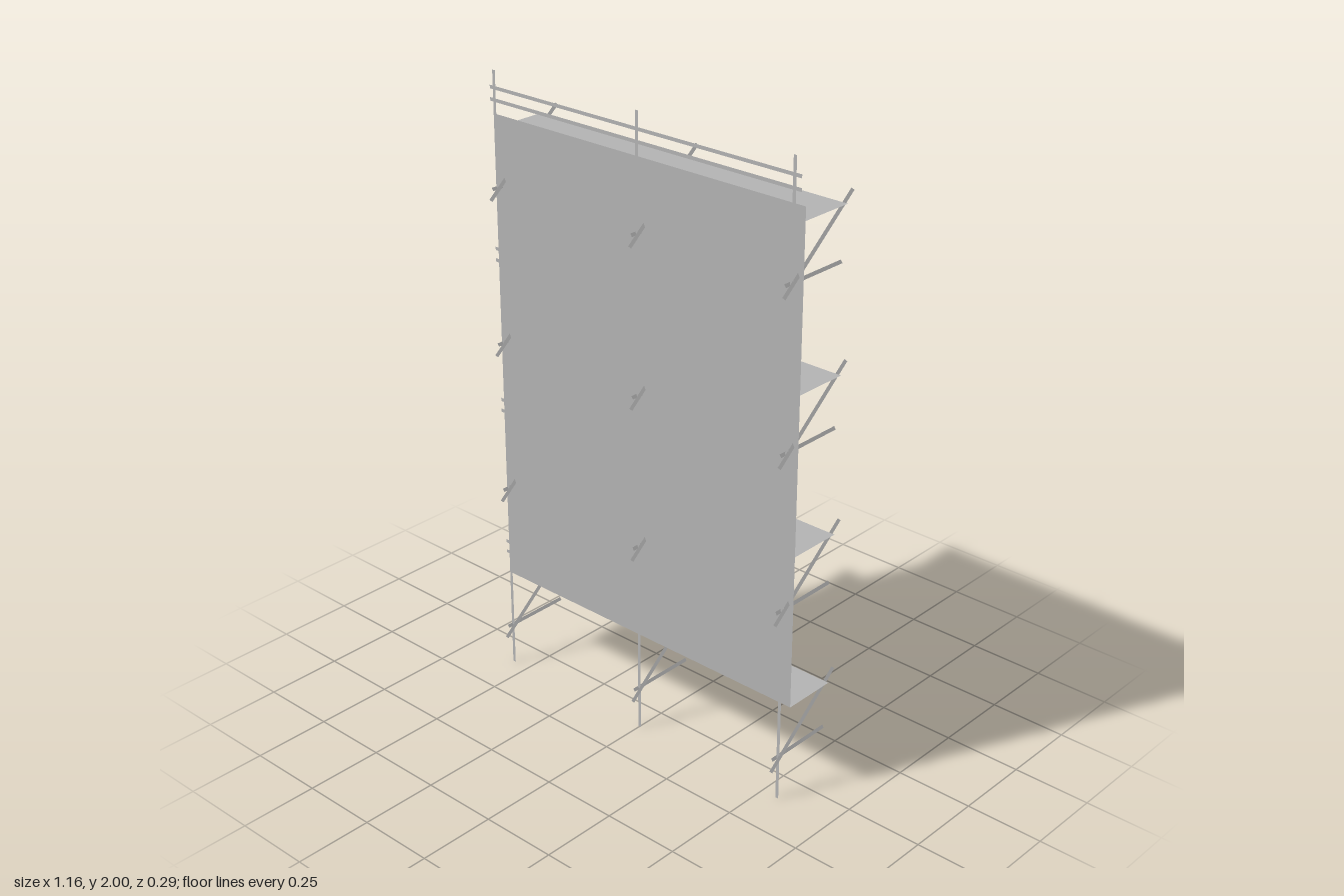
import * as THREE from 'three';

const grey = new THREE.MeshStandardMaterial({ color: 0xb4b4b4, side: THREE.DoubleSide });
grey.name = 'scaffold grey';

const LEVELS = [0, 0.5, 1, 1.5];
const FRAMES = [-0.557, 0.002, 0.556];

export function createModel() {
  const group = new THREE.Group();

  const add = (name, geometry) => {
    const mesh = new THREE.Mesh(geometry, grey);
    mesh.name = name;
    group.add(mesh);
    return mesh;
  };

  // Upright flat panel facing the front
  const panel = (name, w, h, x, y, z) =>
    add(name, new THREE.PlaneGeometry(w, h)).position.set(x, y, z);

  // Flat strip from a to b, spread by the vector across
  const strip = (name, a, b, across) => {
    const half = across.clone().multiplyScalar(0.5);
    const corners = [
      a.clone().sub(half), a.clone().add(half),
      b.clone().add(half), b.clone().sub(half),
    ];
    const geometry = new THREE.BufferGeometry().setFromPoints(corners);
    geometry.setIndex([0, 1, 2, 0, 2, 3]);
    geometry.computeVertexNormals();
    add(name, geometry);
  };

  // Large front sheet
  panel('frontSheet', 1.16, 1.54, 0, 1.09, 0.08);

  // Uprights in front of the sheet
  [-0.562, 0, 0.556].forEach((x) => panel('upright', 0.011, 2, x, 1, 0.1));

  for (const y of LEVELS) {
    // Pair of guard rails
    for (const railY of [0.41, 0.447]) panel('guardRail', 1.16, 0.011, 0, y + railY, 0.1);

    // Walking deck
    const deck = add('deck', new THREE.PlaneGeometry(1.16, 0.178).rotateX(-Math.PI / 2));
    deck.position.set(0, y + 0.32, -0.009);

    // Tilted brace and level strut at each frame
    for (const x of FRAMES) {
      strip('diagonalBrace',
        new THREE.Vector3(x + 0.007, y + 0.115, 0.14),
        new THREE.Vector3(x + 0.007, y + 0.347, -0.14),
        new THREE.Vector3(0.006, -0.007, -0.006));
      strip('levelStrut',
        new THREE.Vector3(x - 0.006, y + 0.142, 0.12),
        new THREE.Vector3(x - 0.006, y + 0.142, -0.12),
        new THREE.Vector3(0.006, -0.009, 0));
    }
  }
  return group;
}
